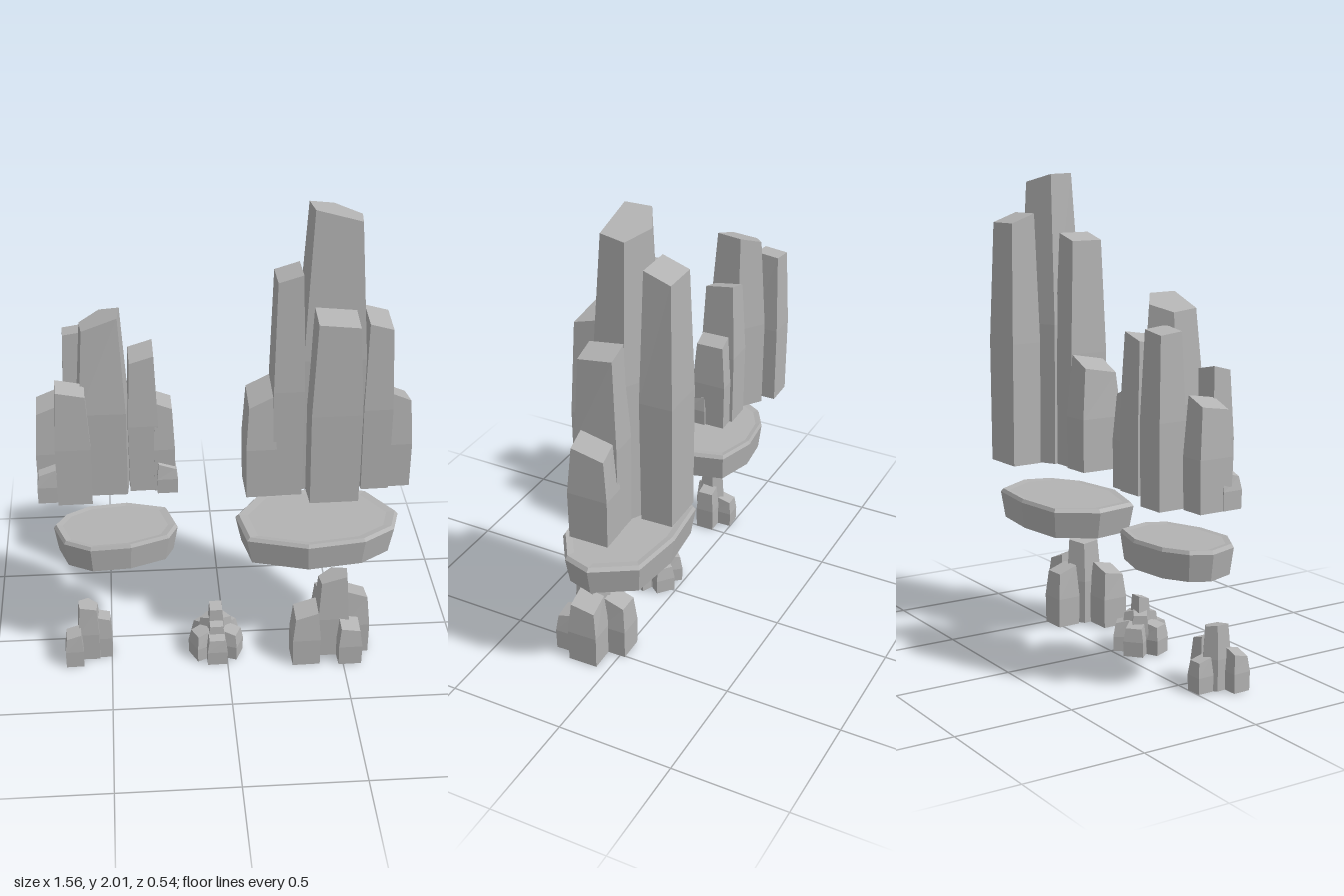
import * as THREE from 'three';

const stone = new THREE.MeshStandardMaterial({ color: 0xb2b2b2 });
stone.name = 'grey stone';

// Faceted solid through rings of [x, y, z] points (anticlockwise from above), capped at both ends
function loft(rings) {
  const pos = [];
  const tri = (a, b, c) => pos.push(...a, ...b, ...c);
  const n = rings[0].length;
  for (let r = 0; r + 1 < rings.length; r++) {
    for (let i = 0; i < n; i++) {
      const j = (i + 1) % n;
      const [a, b, c, d] = [rings[r][i], rings[r][j], rings[r + 1][j], rings[r + 1][i]];
      tri(a, b, c);
      tri(a, c, d);
    }
  }
  const low = rings[0], top = rings[rings.length - 1];
  for (let i = 1; i + 1 < n; i++) {
    tri(low[0], low[i + 1], low[i]);
    tri(top[0], top[i], top[i + 1]);
  }
  const g = new THREE.BufferGeometry();
  g.setAttribute('position', new THREE.Float32BufferAttribute(pos, 3));
  g.computeVertexNormals();
  return g;
}

function addMesh(parent, name, geometry) {
  const mesh = new THREE.Mesh(geometry, stone);
  mesh.name = name;
  parent.add(mesh);
  return mesh;
}

const FOUR = [[-0.94, 1], [1, 0.96], [0.95, -1], [-1, -0.95]];
const FIVE = [[-0.88, 1], [0.88, 1], [1, -0.3], [0, -1], [-1, -0.3]];

// Rock column: straight lower part, tapered upper part, sloping top.
// riseX and riseZ are the height change of the top towards +x and +z.
function column(parent, name, x0, x1, z0, z1, base, top, riseX, riseZ, plan = FOUR, taper = 0.8, turn = 0) {
  const w = (x1 - x0) / 2, d = (z1 - z0) / 2;
  const mid = top - (Math.abs(riseX) + Math.abs(riseZ)) / 2;
  const ring = (s, y, rx, rz) => plan.map(([u, v]) => [u * w * s, y + (u * rx + v * rz) / 2, v * d * s]);
  const mesh = addMesh(parent, name, loft([
    ring(0.97, base, 0, 0),
    ring(1, base + (mid - base) * 0.5, 0, 0),
    ring(taper, mid, riseX, riseZ),
  ]));
  mesh.position.set((x0 + x1) / 2, 0, (z0 + z1) / 2);
  mesh.rotation.y = turn;
}

// Flat slab with a bevelled rim
function slab(parent, name, outline, bottom, top) {
  const n = outline.length;
  const cx = outline.reduce((s, p) => s + p[0], 0) / n;
  const cz = outline.reduce((s, p) => s + p[1], 0) / n;
  const ring = (s, y) => outline.map(([x, z]) => [cx + (x - cx) * s, y, cz + (z - cz) * s]);
  addMesh(parent, name, loft([
    ring(0.93, bottom), ring(1, top - 0.015), ring(0.96, top), ring(0.85, top - 0.004),
  ]));
}

function cluster(root, name, base, rows) {
  const group = new THREE.Group();
  group.name = name;
  for (const [part, x0, x1, z0, z1, ...rest] of rows) column(group, part, x0, x1, z0, z1, base, ...rest);
  root.add(group);
}

export function createModel() {
  const root = new THREE.Group();
  root.name = 'rockFormations';

  // Tall spire group
  cluster(root, 'tallSpires', 0.77, [
    ['mainSpire', 0.30, 0.59, -0.17, 0.055, 2.01, -0.06, 0.01, FIVE, 0.73],
    ['frontSpire', 0.335, 0.55, 0.035, 0.168, 1.61, -0.02, -0.03],
    ['backSpire', 0.35, 0.55, -0.27, -0.13, 1.84, 0, 0.04],
    ['leftInnerSpire', 0.565, 0.69, -0.11, 0.075, 1.55, -0.03, -0.02],
    ['leftOuterSpire', 0.665, 0.78, -0.115, 0.06, 1.21, -0.04, 0.03],
    ['rightInnerSpire', 0.19, 0.32, -0.08, 0.10, 1.76, 0.03, 0],
    ['rightOuterSpire', 0.08, 0.21, -0.09, 0.105, 1.26, 0.05, -0.03],
  ]);

  // Medium spire group
  cluster(root, 'mediumSpires', 0.77, [
    ['mainSpire', -0.605, -0.39, -0.175, 0.045, 1.575, 0.06, 0.01, FIVE, 0.76],
    ['frontSpire', -0.70, -0.55, 0.01, 0.11, 1.31, -0.025, -0.02],
    ['backSpire', -0.665, -0.535, -0.215, -0.09, 1.46, 0.015, 0.01],
    ['leftInnerSpire', -0.40, -0.272, -0.135, 0.02, 1.41, 0.03, -0.02],
    ['leftOuterSpire', -0.295, -0.205, -0.125, 0.025, 1.18, -0.03, 0],
    ['leftSmallSpire', -0.285, -0.195, -0.04, 0.045, 0.925, -0.025, -0.02],
    ['rightOuterSpire', -0.78, -0.67, -0.11, 0.045, 1.21, 0.035, -0.02],
    ['rightSmallSpire', -0.78, -0.69, 0.0, 0.09, 0.94, 0.025, -0.02],
  ]);

  // Flat slabs
  slab(root, 'largeSlab', [
    [0.05, -0.02], [0.085, 0.17], [0.335, 0.245], [0.58, 0.21], [0.715, 0.12],
    [0.75, 0], [0.64, -0.175], [0.40, -0.205], [0.16, -0.18],
  ], 0.48, 0.61);
  slab(root, 'smallSlab', [
    [-0.725, 0], [-0.68, 0.13], [-0.57, 0.19], [-0.40, 0.178], [-0.24, 0.115],
    [-0.20, 0.03], [-0.24, -0.11], [-0.41, -0.16], [-0.58, -0.14], [-0.68, -0.08],
  ], 0.48, 0.605);

  // Large ground rocks
  cluster(root, 'largeGroundRocks', 0, [
    ['mainRock', 0.385, 0.535, 0.06, 0.20, 0.405, 0.035, 0.01, FIVE, 0.82],
    ['rightRock', 0.275, 0.40, 0.14, 0.26, 0.28, 0.03, -0.02],
    ['leftRock', 0.50, 0.62, 0.05, 0.185, 0.315, -0.035, 0.02],
    ['frontRock', 0.475, 0.58, 0.17, 0.268, 0.20, -0.015, -0.02],
    ['backRock', 0.39, 0.51, -0.025, 0.085, 0.27, 0, 0.03],
  ]);

  // Small ground rocks
  cluster(root, 'smallGroundRocks', 0, [
    ['mainRock', -0.645, -0.545, 0.05, 0.155, 0.268, -0.015, 0, FIVE, 0.82],
    ['rightRock', -0.70, -0.62, 0.125, 0.205, 0.175, 0.02, -0.015],
    ['leftRock', -0.565, -0.495, 0.06, 0.145, 0.205, -0.015, 0],
    ['backRock', -0.635, -0.56, 0, 0.075, 0.14, 0, 0.015],
  ]);

  // Stepped mound: rings of rocks fanned around a centre, sloping outwards
  const mound = new THREE.Group();
  mound.name = 'steppedMound';
  const cx = -0.045, cz = 0.12;
  const ringOf = (name, angles, radius, w, d, top) => angles.forEach((deg) => {
    const a = THREE.MathUtils.degToRad(deg);
    const x = cx + Math.sin(a) * radius, z = cz + Math.cos(a) * radius;
    column(mound, name, x - w / 2, x + w / 2, z - d / 2, z + d / 2, 0, top, 0, -0.015, FOUR, 0.78, a);
  });
  ringOf('lowerRock', [0, 66, 140, 220, 294], 0.072, 0.09, 0.08, 0.135);
  ringOf('middleRock', [0, 125, 235], 0.035, 0.075, 0.07, 0.18);
  ringOf('topRock', [0], 0, 0.07, 0.065, 0.242);
  root.add(mound);

  return root;
}
